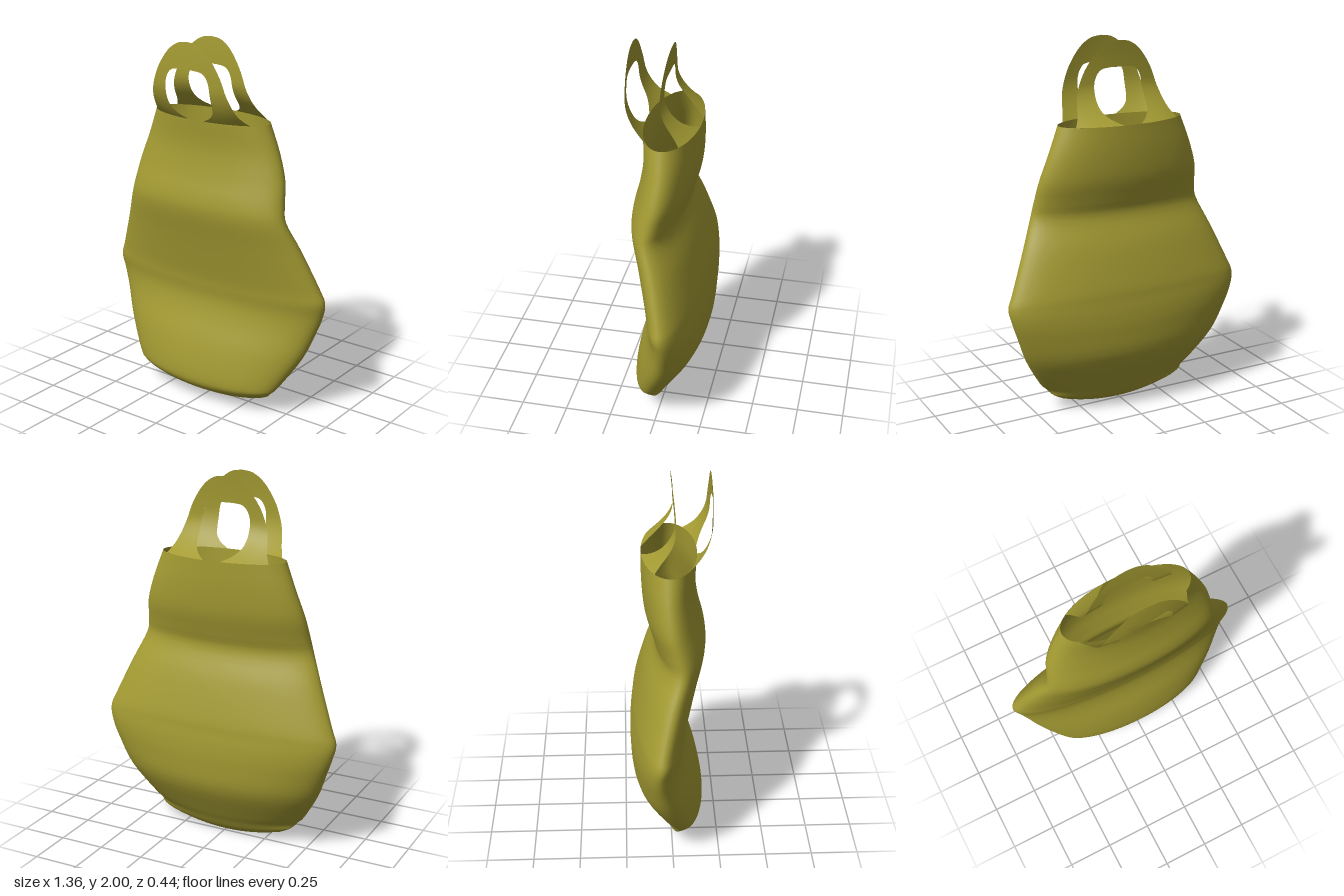
import * as THREE from 'three';

const RIM_Y = 1.585, RIM_W = 0.355, RIM_FRONT = 0.14, RIM_BACK = -0.15;

// Grid of points into a smooth surface; wrap joins the last column to the first
function gridGeometry(rows, wrap) {
  const n = rows[0].length, pos = rows.flat(2), idx = [];
  for (let i = 0; i < rows.length - 1; i++) {
    for (let j = 0; j < (wrap ? n : n - 1); j++) {
      const a = i * n + j, b = i * n + (j + 1) % n, c = a + n, d = b + n;
      idx.push(a, c, b, b, c, d);
    }
  }
  const g = new THREE.BufferGeometry();
  g.setAttribute('position', new THREE.Float32BufferAttribute(pos, 3));
  g.setIndex(idx);
  g.computeVertexNormals();
  return g;
}

const curve = (pts) => new THREE.CatmullRomCurve3(
  pts.map(([x, y, z = 0]) => new THREE.Vector3(x, y, z)), false, 'catmullrom', 0.5);

// Soft pouch: lens-shaped rings following a wavy side profile
function bodyGeometry() {
  // y, half width, front z, back z, upward curl of the bottom seam
  const keys = [
    [0.00, 0.34, 0.02, 0.02, 0.055],
    [0.035, 0.395, 0.08, -0.025, 0.05],
    [0.09, 0.43, 0.16, -0.06, 0.03],
    [0.16, 0.47, 0.18, -0.105, 0.005],
    [0.33, 0.57, 0.15, -0.20, 0],
    [0.48, 0.63, 0.10, -0.218, 0],
    [0.58, 0.665, 0.08, -0.217, 0],
    [0.66, 0.68, 0.087, -0.208, 0],
    [0.74, 0.65, 0.10, -0.197, 0],
    [0.94, 0.565, 0.147, -0.145, 0],
    [1.09, 0.50, 0.184, -0.088, 0],
    [1.18, 0.48, 0.182, -0.105, 0],
    [1.30, 0.46, 0.152, -0.138, 0],
    [1.44, 0.412, 0.132, -0.15, 0],
    [RIM_Y, RIM_W, RIM_FRONT, RIM_BACK, 0],
  ];
  const size = curve(keys.map((k) => [k[1], k[0], k[4]]));
  const depth = curve(keys.map((k) => [k[2], k[3]]));
  const rows = [], steps = (keys.length - 1) * 4, sides = 72;
  for (let i = 0; i <= steps; i++) {
    const s = size.getPoint(i / steps), d = depth.getPoint(i / steps);
    const mid = (d.x + d.y) / 2, half = (d.x - d.y) / 2, ring = [];
    for (let j = 0; j < sides; j++) {
      const a = (j / sides) * Math.PI * 2, c = Math.cos(a);
      ring.push([s.x * c, s.y + s.z * c * c, mid - half * Math.sin(a)]);
    }
    rows.push(ring);
  }
  return gridGeometry(rows, true);
}

// Flat loop handle rising from the rim, bent forward by a rule on height
function handleGeometry(side) {
  const outer = curve([[0.295, RIM_Y], [0.268, 1.63], [0.252, 1.68], [0.235, 1.74],
    [0.195, 1.845], [0.13, 1.94], [0.065, 1.988], [0, 2]]);
  const inner = curve([[0.05, RIM_Y], [0.105, 1.615], [0.137, 1.66], [0.14, 1.75],
    [0.13, 1.81], [0.1, 1.85], [0.05, 1.86], [0, 1.86]]);
  const mid = (RIM_FRONT + RIM_BACK) / 2, half = (RIM_FRONT - RIM_BACK) / 2;
  const steps = 64, across = 6, rows = [];
  for (let i = 0; i <= steps; i++) {
    const u = (i / steps) * 2, mirror = u > 1 ? -1 : 1, t = u > 1 ? 2 - u : u;
    const o = outer.getPoint(t), n = inner.getPoint(t), row = [];
    for (let j = 0; j <= across; j++) {
      const p = n.clone().lerp(o, j / across);
      const rim = mid + side * half * Math.sqrt(1 - (p.x / RIM_W) ** 2);
      const top = (side > 0 ? 0.22 - 0.4 * p.x ** 2 : 0.015 + 0.2 * p.x ** 2)
        - 0.3 * Math.max(0, p.y - 1.8) ** 2;
      const k = THREE.MathUtils.clamp((p.y - RIM_Y) / 0.2, 0, 1);
      row.push([p.x * mirror, p.y, THREE.MathUtils.lerp(rim, top, 1 - (1 - k) ** 2)]);
    }
    rows.push(row);
  }
  return gridGeometry(rows, false);
}

export function createModel() {
  const group = new THREE.Group();
  group.name = 'bag';
  const olive = new THREE.MeshStandardMaterial({ color: 0xa39a32, side: THREE.DoubleSide });
  olive.name = 'olive fabric';
  const add = (name, geometry) => {
    const mesh = new THREE.Mesh(geometry, olive);
    mesh.name = name;
    group.add(mesh);
  };
  add('body', bodyGeometry());
  add('frontHandle', handleGeometry(1));
  add('backHandle', handleGeometry(-1));
  return group;
}
